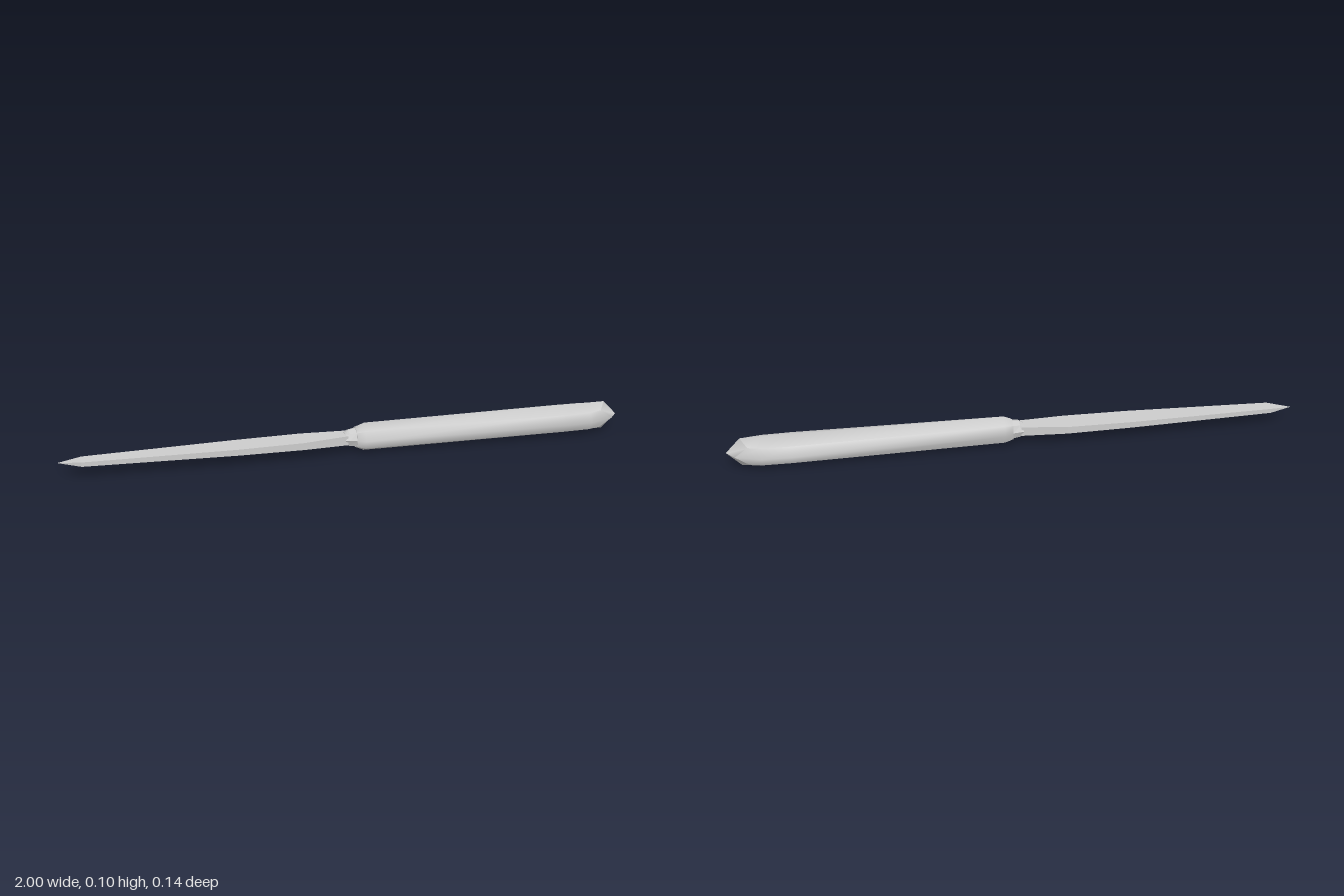
import * as THREE from 'three';

const CENTRE_Y = 0.054;

// Skin a grid of [x, y, z] rows; rows run along +x, columns run top -> +z -> bottom -> -z
function loft(rows, flat = false) {
  const n = rows[0].length, index = [];
  for (let r = 0; r < rows.length - 1; r++) {
    for (let c = 0; c < n - 1; c++) {
      const a = r * n + c, d = a + n;
      index.push(a, a + 1, d, a + 1, d + 1, d);
    }
  }
  const geometry = new THREE.BufferGeometry();
  geometry.setAttribute('position', new THREE.Float32BufferAttribute(rows.flat(2), 3));
  geometry.setIndex(index);
  geometry.computeVertexNormals();
  return new THREE.Mesh(geometry, new THREE.MeshStandardMaterial({ color: 0xcccccc, flatShading: flat, side: THREE.DoubleSide }));
}

// Eight-sided ring, starting and ending at the diagonal corner (+y, -z)
function octagon([xTop, h, xDiag, dy, dz, xSide, s]) {
  return [
    [xDiag, dy, -dz], [xTop, h, 0], [xDiag, dy, dz],
    [xSide, 0, s], [xDiag, -dy, dz],
    [xTop, -h, 0], [xDiag, -dy, -dz],
    [xSide, 0, -s], [xDiag, dy, -dz],
  ];
}

export function createModel() {
  const model = new THREE.Group();
  const add = (name, parent, mesh) => {
    mesh.name = name;
    parent.add(mesh);
  };

  // Handle: four long smooth strips that meet in creases at the diagonal corners
  const handle = new THREE.Group();
  handle.name = 'handle';
  const rings = [
    [0.02, 0.038, 0.02, 0.026, 0.029, 0.02, 0.037],
    [0.05, 0.052, 0.05, 0.032, 0.037, 0.05, 0.051],
    [0.78, 0.052, 0.78, 0.032, 0.051, 0.78, 0.071],
    [0.88, 0.052, 0.88, 0.032, 0.049, 0.88, 0.067],
    [0.95, 0.052, 0.925, 0.032, 0.036, 0.97, 0.037],
  ].map(octagon);
  ['top', 'left', 'bottom', 'right'].forEach((side, i) => {
    add(`${side}HandleFace`, handle, loft(rings.map(ring => ring.slice(i * 2, i * 2 + 3))));
  });

  // Pointed butt of the handle
  const last = rings[rings.length - 1];
  add('handleEnd', handle, loft([last, last.map(() => [1, 0, 0])]));
  model.add(handle);

  // Collar between handle and blade
  const collar = [
    [-0.02, 0.001, -0.02, 0.001, 0.001, -0.02, 0.001],
    [-0.02, 0.02, -0.02, 0.015, 0.02, -0.02, 0.028],
    [-0.005, 0.03, -0.005, 0.022, 0.022, -0.005, 0.031],
    [0.02, 0.034, 0.02, 0.025, 0.025, 0.02, 0.034],
    [0.021, 0.038, 0.021, 0.026, 0.029, 0.021, 0.037],
  ].map(octagon);
  add('collar', model, loft(collar, true));

  // Blade: thin four-sided bar, [x, half thickness, back z, front z]
  const blade = [
    [-1, 0, -0.012, -0.012],
    [-0.92, 0.008, -0.03, 0.02],
    [-0.4, 0.011, -0.045, 0.041],
    [-0.17, 0.013, -0.045, 0.041],
    [-0.01, 0.017, -0.026, 0.026],
  ].map(([x, h, back, front]) => [
    [x, h, back], [x, h, front], [x, -h, front], [x, -h, back], [x, h, back],
  ]);
  add('blade', model, loft(blade, true));

  model.position.y = CENTRE_Y;
  const root = new THREE.Group();
  root.name = 'knife';
  root.add(model);
  return root;
}
